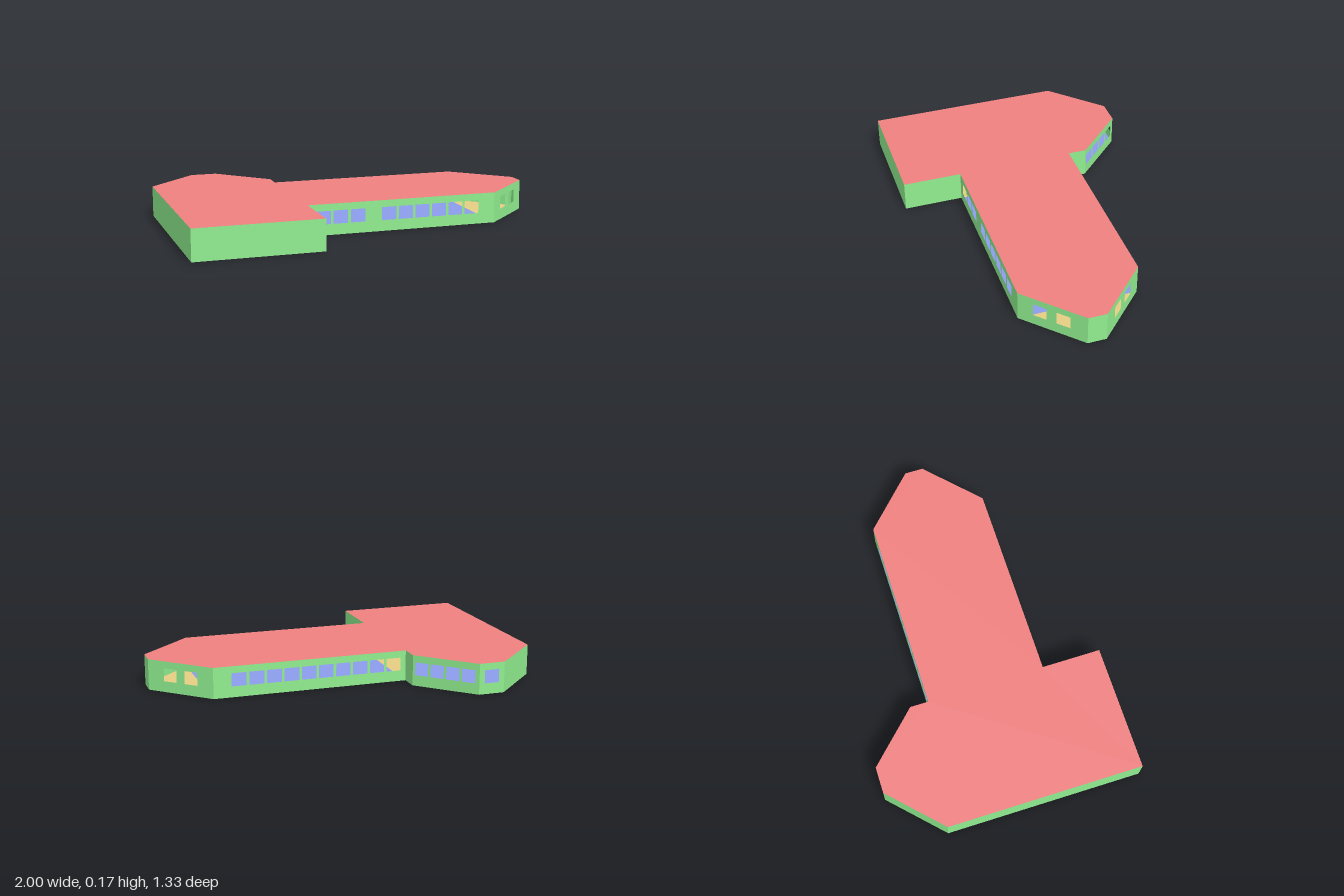
import * as THREE from 'three';

const H = 0.165, SILL = 0.058, HEAD = 0.128;
const paint = (color) => new THREE.MeshStandardMaterial({ color, side: THREE.DoubleSide, flatShading: true });

// Flat horizontal slab surface from [x, z] corners
function slab(name, corners, y, material) {
  const shape = new THREE.Shape(corners.map(([x, z]) => new THREE.Vector2(x, -z)));
  const mesh = new THREE.Mesh(new THREE.ShapeGeometry(shape).rotateX(-Math.PI / 2), material);
  mesh.position.y = y;
  mesh.name = name;
  return mesh;
}

// Thin wall from a to b with open windows; each window is [start, end] along the wall
function wall(name, a, b, windows, material) {
  const dx = b[0] - a[0], dz = b[1] - a[1], length = Math.hypot(dx, dz);
  const rect = (x0, y0, x1, y1) => [[x0, y0], [x1, y0], [x1, y1], [x0, y1]].map(p => new THREE.Vector2(...p));
  const shape = new THREE.Shape(rect(0, 0, length, H));
  for (const [s, e] of windows) shape.holes.push(new THREE.Path(rect(s, SILL, e, HEAD).reverse()));
  const mesh = new THREE.Mesh(new THREE.ShapeGeometry(shape), material);
  mesh.position.set(a[0], 0, a[1]);
  mesh.rotation.y = Math.atan2(-dz, dx);
  mesh.name = name;
  return mesh;
}

// Evenly spaced row of windows
const row = (count, start, pitch, width) =>
  Array.from({ length: count }, (_, i) => [start + i * pitch, start + i * pitch + width]);

export function createModel() {
  const group = new THREE.Group();
  group.name = 'building';
  const green = paint(0x90ee90), red = paint(0xf08080);
  const blue = paint(0x8c9cec), tan = paint(0xe6cd82);

  // Footprint, walked with the outside on the right-hand side
  const outline = [
    [-1, 0.66], [-0.33, 0.66], [-0.33, 0.34], [0.72, 0.34], [1, 0.07], [1, -0.03],
    [0.72, -0.30], [-0.33, -0.30], [-0.33, -0.40], [-0.59, -0.665], [-0.73, -0.665], [-1, -0.40],
  ];

  // Windows by wall index
  const windows = {
    2: [...row(3, 0.045, 0.094, 0.08), ...row(6, 0.405, 0.094, 0.08)],
    3: row(2, 0.087, 0.131, 0.076),
    5: row(2, 0.095, 0.124, 0.076),
    6: row(10, 0.095, 0.094, 0.08),
    8: row(4, 0.014, 0.087, 0.073),
    9: row(1, 0.03, 0, 0.08),
  };
  const names = ['frontGable', 'frontReturn', 'frontWall', 'frontChamfer', 'endWall', 'backChamfer',
    'backWall', 'backReturn', 'bayChamfer', 'bayEnd', 'bayBlindChamfer', 'sideWall'];
  outline.forEach((p, i) =>
    group.add(wall(names[i], p, outline[(i + 1) % outline.length], windows[i] ?? [], green)));

  // Roof
  group.add(slab('roof', outline, H, red));

  // Floors: corridor wing, end room, side block and the lobby between them
  const lobby = [[-0.33, 0.34], [-0.52, 0.30], [-0.60, 0.21], [-0.475, 0.015], [-0.49, -0.05], [-0.33, -0.24]];
  group.add(slab('wingFloor', [outline[2], outline[3], outline[6], outline[7]], 0, blue));
  group.add(slab('endRoomFloor', outline.slice(3, 7), 0, tan));
  group.add(slab('lobbyFloor', lobby, 0, tan));
  group.add(slab('blockFloor', [outline[0], outline[1], ...lobby, ...outline.slice(8)], 0, blue));

  return group;
}
